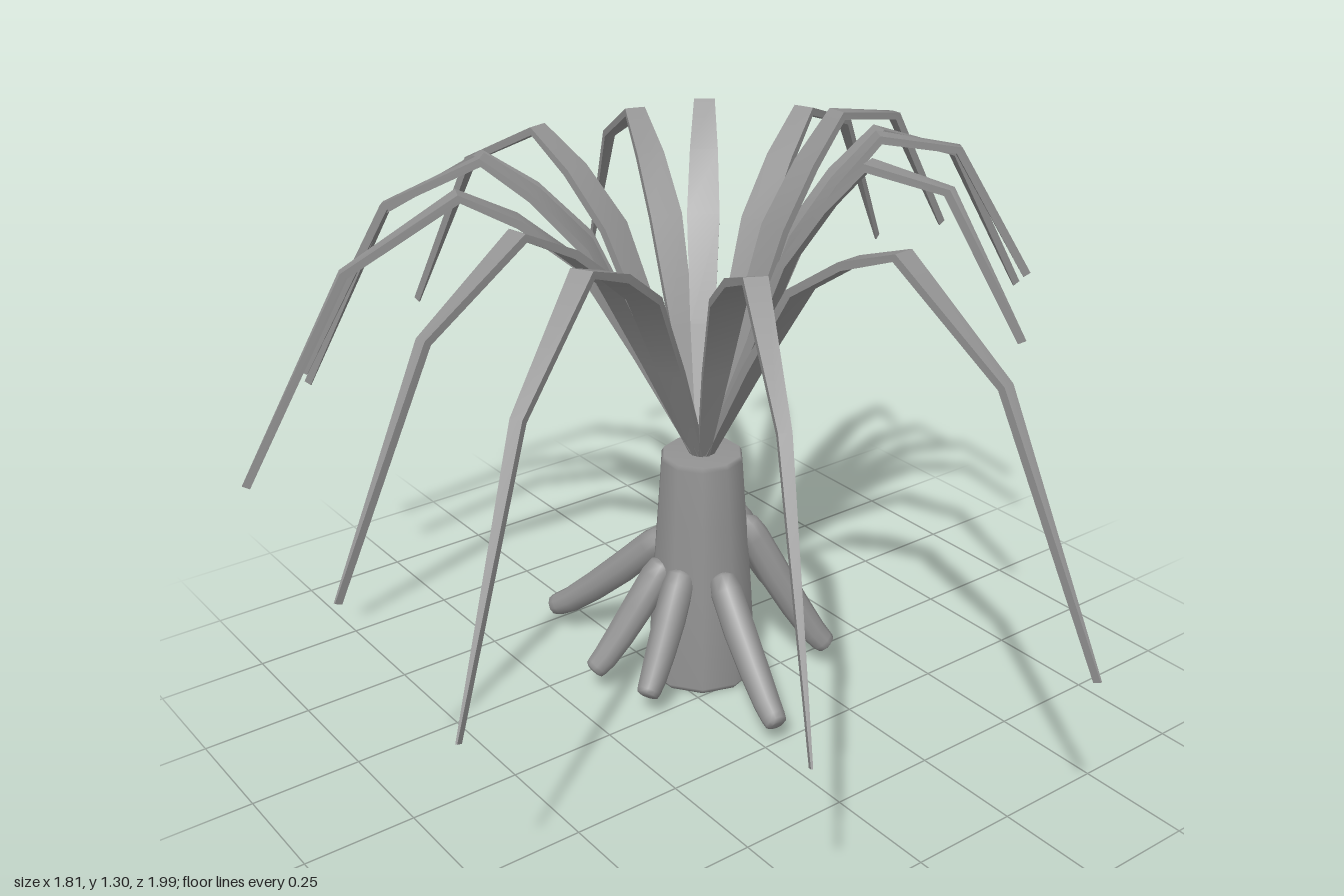
import * as THREE from 'three';
import { toCreasedNormals } from 'three/addons/utils/BufferGeometryUtils.js';

const TRUNK_X = 0.093, TRUNK_Z = -0.108, TRUNK_TOP = 0.57;

// Lofts a closed section along a path in the XY plane (x = outward, y = up).
// section(i) returns [across, normal] offsets; both ends are capped.
function loft(path, section) {
  const pos = [], idx = [];
  const n = section(0).length;
  path.forEach((p, i) => {
    const a = path[Math.max(i - 1, 0)], b = path[Math.min(i + 1, path.length - 1)];
    const t = new THREE.Vector2().subVectors(b, a).normalize();
    for (const [u, v] of section(i)) pos.push(p.x - t.y * v, p.y + t.x * v, u);
  });
  for (let i = 0; i < path.length - 1; i++) {
    for (let j = 0; j < n; j++) {
      const a = i * n + j, b = i * n + (j + 1) % n;
      idx.push(a, a + n, b, b, a + n, b + n);
    }
  }
  const last = (path.length - 1) * n;
  for (let j = 1; j < n - 1; j++) {
    idx.push(0, j, j + 1, last, last + j + 1, last + j);
  }
  const g = new THREE.BufferGeometry();
  g.setAttribute('position', new THREE.Float32BufferAttribute(pos, 3));
  g.setIndex(idx);
  g.computeVertexNormals();
  return g;
}

// Arching blade: the parabola's rise and reach depend on its size class (0 longest .. 4 shortest)
function leafGeometry(size) {
  const reach = [1.1, 1.005, 0.912, 0.825, 0.72][size];
  const mid = 0.615 + 0.026 * size;
  const end = -0.09 + 0.1225 * size;
  const b = 4 * mid - 2 * end, a = b + end;
  // [position along the blade, width]; the extra lower stations round out the belly
  const stations = [[0, 0.024], [0.125, 0.056], [0.25, 0.074], [0.375, 0.064],
    [0.5, 0.048], [0.75, 0.026], [1, 0.004]];
  const path = stations.map(([t]) => {
    const sag = t % 0.25 ? b / 128 : 0;
    return new THREE.Vector2(0.03 + (reach - 0.03) * t, TRUNK_TOP + a * t - b * t * t - sag);
  });
  path[0].set(0.012, TRUNK_TOP - 0.01);
  const h = 0.009;
  const geo = loft(path, i => {
    const w = stations[i][1] / 2;
    return [[-w, -h], [w, -h], [w, h], [-w, h]];
  });
  return toCreasedNormals(geo, 0.9);
}

// Tapered prop root, rounded where it leaves the trunk and at its tip
function rootGeometry(reach, startY) {
  const at = (s, drop) => new THREE.Vector2(0.095 + (reach - 0.085) * s, startY - (startY - 0.06) * drop);
  const curve = new THREE.SplineCurve([at(0, 0), at(0.4, 0.46), at(0.8, 0.86), at(1, 1)]);
  const stations = [[0, 0.014], [0.04, 0.03], [0.12, 0.037], [0.3, 0.038], [0.5, 0.035],
    [0.7, 0.031], [0.85, 0.028], [0.95, 0.025], [1, 0.015]];
  const path = stations.map(([t]) => curve.getPoint(t));
  return loft(path, i => Array.from({ length: 10 }, (_, j) => {
    const q = j / 10 * Math.PI * 2;
    return [Math.cos(q) * stations[i][1], Math.sin(q) * stations[i][1]];
  }));
}

export function createModel() {
  const model = new THREE.Group();
  model.name = 'palmPlant';
  const material = new THREE.MeshStandardMaterial({ color: 0x929292 });

  const plant = new THREE.Group();
  plant.name = 'plant';
  plant.position.set(TRUNK_X, 0, TRUNK_Z);
  model.add(plant);

  const add = (name, geo, degrees = 0) => {
    const mesh = new THREE.Mesh(geo, material);
    mesh.name = name;
    mesh.rotation.y = -THREE.MathUtils.degToRad(degrees);
    plant.add(mesh);
  };

  // Tapered trunk, smooth over its rims
  const profile = [[0, 0], [0.124, 0], [0.133, 0.014], [0.12, 0.24],
    [0.106, 0.42], [0.096, 0.56], [0.09, TRUNK_TOP], [0, TRUNK_TOP]]
    .map(([x, y]) => new THREE.Vector2(x, y));
  add('trunk', new THREE.LatheGeometry(profile, 10));

  // Prop roots: [angle, reach, start height]
  const roots = [[-7, 0.31, 0.395], [38, 0.29, 0.4], [101, 0.37, 0.3], [156, 0.25, 0.31],
    [192, 0.27, 0.31], [243, 0.4, 0.335], [310, 0.26, 0.32]];
  roots.forEach(([deg, reach, y], i) => add(`root${i + 1}`, rootGeometry(reach, y), deg));

  // Crown of leaves: [angle, size class]
  const leaves = [[0, 4], [12.2, 3], [31.7, 4], [64.3, 4], [84.8, 0], [117.3, 0], [150.3, 0],
    [170.3, 1], [202.9, 1], [222.8, 2], [235.4, 1], [255.3, 2], [287.8, 2], [307.9, 3], [340.1, 3]];
  leaves.forEach(([deg, size], i) => add(`leaf${i + 1}`, leafGeometry(size), deg));

  return model;
}
